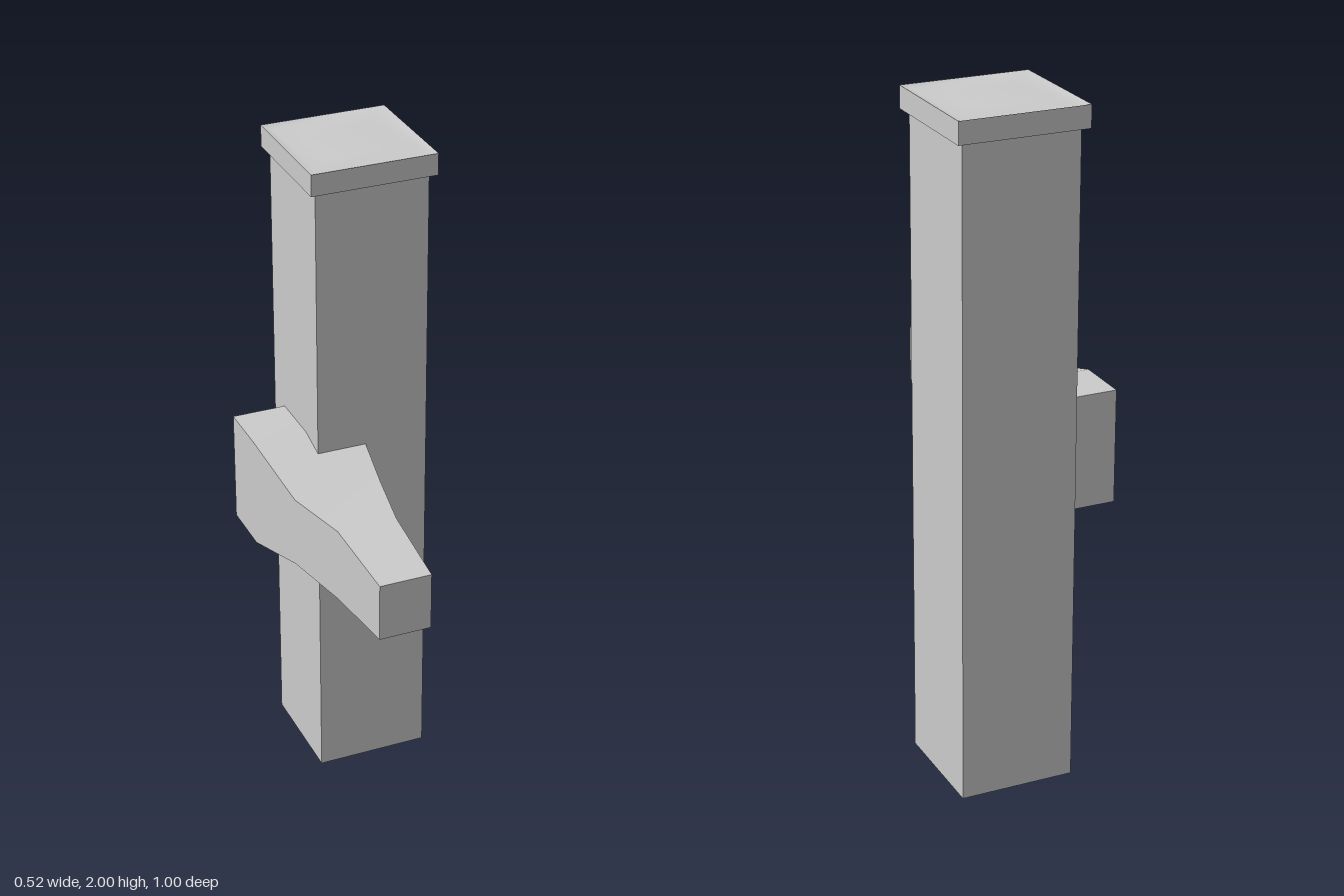
import * as THREE from 'three';
import { mergeGeometries } from 'three/addons/utils/BufferGeometryUtils.js';

const grey = new THREE.MeshStandardMaterial({ color: 0xcccccc, side: THREE.DoubleSide });

function surface(points, index) {
  const g = new THREE.BufferGeometry();
  g.setAttribute('position', new THREE.Float32BufferAttribute(points.flat(), 3));
  g.setIndex(index);
  g.computeVertexNormals();
  return g;
}

// Rings of four corners, counter-clockwise seen from the end of the loft.
// Each side is smooth along its length, with hard edges between sides.
function loft(rings, closeStart, closeEnd) {
  const parts = [];
  for (let s = 0; s < 4; s++) {
    const points = [], index = [];
    rings.forEach((ring, i) => {
      points.push(ring[s], ring[(s + 1) % 4]);
      if (i > 0) {
        const a = 2 * i - 2;
        index.push(a, a + 1, a + 3, a, a + 3, a + 2);
      }
    });
    parts.push(surface(points, index));
  }
  if (closeStart) parts.push(surface(rings[0], [0, 2, 1, 0, 3, 2]));
  if (closeEnd) parts.push(surface(rings[rings.length - 1], [0, 1, 2, 0, 2, 3]));
  return mergeGeometries(parts);
}

// Square ring around the post axis at height y
const postX = 0.07, postZ = -0.308;
const square = (y, h) => [[-h, h], [h, h], [h, -h], [-h, -h]].map(([x, z]) => [postX + x, y, postZ + z]);

// Rectangular ring across the arm at depth z
const armX = -0.102;
const section = ([z, w, b, t]) => [[armX - w, b, z], [armX + w, b, z], [armX + w, t, z], [armX - w, t, z]];

export function createModel() {
  const group = new THREE.Group();
  const add = (name, geometry) => {
    const mesh = new THREE.Mesh(geometry, grey);
    mesh.name = name;
    group.add(mesh);
  };

  // Hollow square post, open at the bottom
  add('post', loft([square(0, 0.171), square(1.945, 0.171)], false, false));

  // Overhanging cap block
  add('capBlock', loft([square(1.935, 0.19), square(2, 0.19)], true, false));

  // Softly shaded cap top: narrow dip inside the rim, then a faint rise
  const rings = [square(2, 0.19), square(1.992, 0.165), square(1.998, 0.1)];
  const index = [];
  for (let r = 0; r < 2; r++) {
    for (let s = 0; s < 4; s++) {
      const a = r * 4 + s, b = r * 4 + (s + 1) % 4;
      index.push(a, b, b + 4, a, b + 4, a + 4);
    }
  }
  index.push(8, 9, 10, 8, 10, 11);
  add('capTop', surface(rings.flat(), index));

  // Tapered arm: depth, half width, bottom, top
  const arm = [
    [-0.4, 0.162, 0.8, 1.14],
    [-0.23, 0.162, 0.8, 1.14],
    [0.015, 0.132, 0.86, 1.075],
    [0.23, 0.089, 0.858, 1.081],
    [0.497, 0.077, 0.883, 1.056],
  ];
  add('arm', loft(arm.map(section), true, true));

  return group;
}
